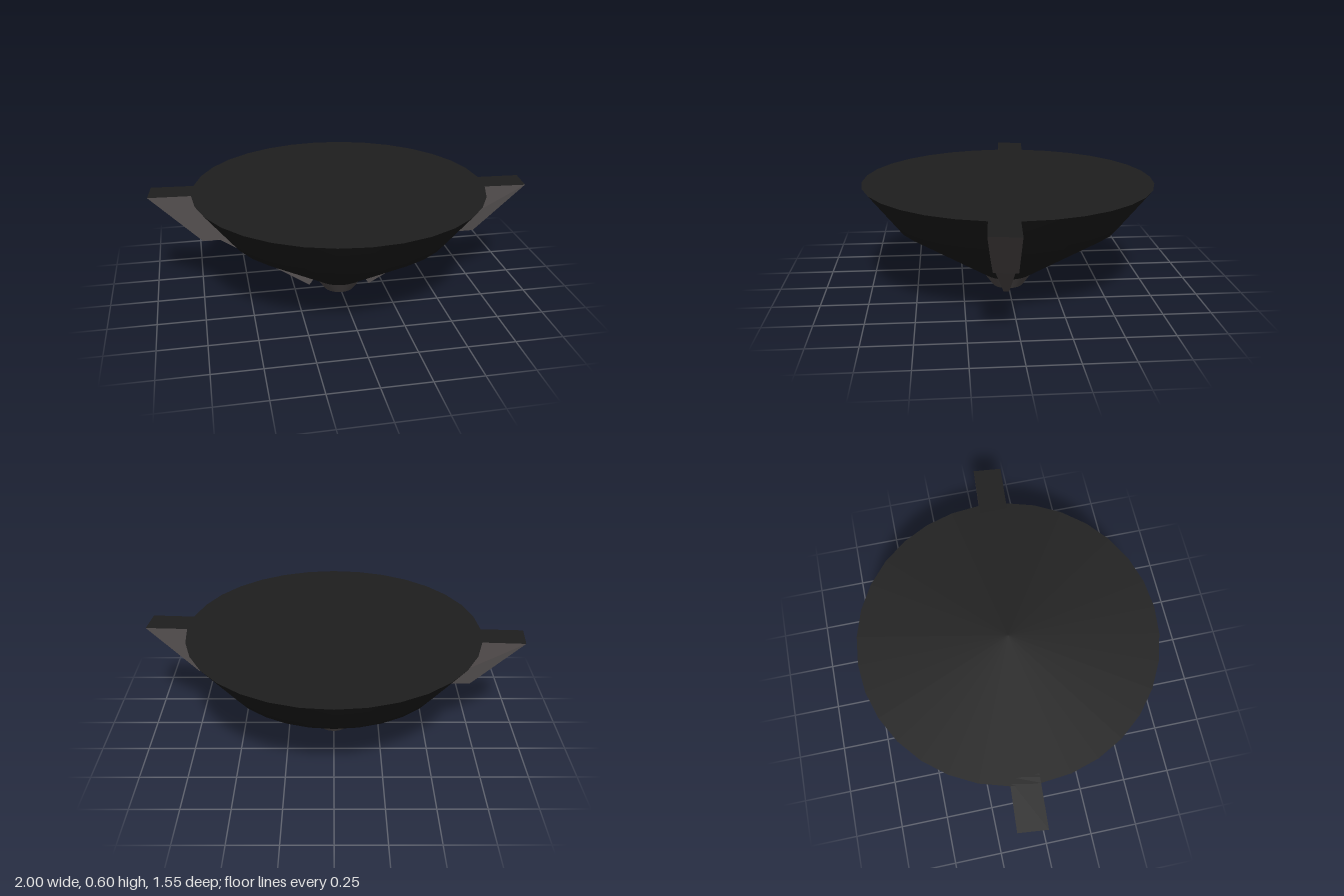
import * as THREE from 'three';
import { toCreasedNormals } from 'three/addons/utils/BufferGeometryUtils.js';

const TOP = 0.596;

function lathe(name, points, color) {
  const profile = points.map(([r, y]) => new THREE.Vector2(r, y));
  const geometry = toCreasedNormals(new THREE.LatheGeometry(profile, 32), 0.6);
  const mesh = new THREE.Mesh(geometry, new THREE.MeshStandardMaterial({ color }));
  mesh.name = name;
  return mesh;
}

// Flat-faced mesh from a list of quads, corners counter-clockwise from outside
function quads(name, list, color) {
  const pos = [];
  for (const [a, b, c, d] of list) pos.push(...a, ...b, ...c, ...a, ...c, ...d);
  const geometry = new THREE.BufferGeometry();
  geometry.setAttribute('position', new THREE.Float32BufferAttribute(pos, 3));
  geometry.computeVertexNormals();
  const mesh = new THREE.Mesh(geometry, new THREE.MeshStandardMaterial({ color, side: THREE.DoubleSide }));
  mesh.name = name;
  return mesh;
}

// Stepped rib that hugs the outside of the bowl and tapers towards the base
function createRib() {
  // each section: outer x, outer y, inner x, inner y, rear z, front z, skew of the outer front corner
  const sections = [
    [1.0, TOP, 0.73, TOP, 0.015, 0.165, 0.015],
    [0.735, 0.335, 0.53, 0.335, 0.007, 0.127, 0.012],
    [0.645, 0.335, 0.53, 0.335, 0.005, 0.122, 0.01],
    [0.167, 0.015, 0.125, 0.075, 0.005, 0.037, 0.003],
  ].map(([xo, yo, xi, yi, z0, z1, skew], i) => [
    [xi, yi, i ? z0 : 0], // inner rear
    [xo, yo, z0], // outer rear
    [xo - skew, yo, z1], // outer front
    [xi, yi, i ? z1 : 0.148], // inner front
  ]);
  const faces = [];
  for (let i = 0; i < sections.length - 1; i++) {
    const a = sections[i], b = sections[i + 1];
    for (let k = 0; k < 4; k++) {
      const n = (k + 1) % 4;
      faces.push([a[k], a[n], b[n], b[k]]);
    }
  }
  faces.push(sections[3]);
  const rib = new THREE.Group();
  rib.name = 'rib';
  rib.add(quads('ribBody', faces, 0x555050));
  // dark top face, flush with the bowl lid
  rib.add(quads('ribTop', [[...sections[0]].reverse()], 0x1e1e1e));
  return rib;
}

export function createModel() {
  const model = new THREE.Group();
  model.name = 'bowlWithRibs';

  // Closed bowl with a flat lid
  model.add(lathe('bowl', [[0, 0.07], [0.135, 0.07], [0.6, 0.37], [0.777, TOP], [0, TOP]], 0x1e1e1e));
  // Small tapered foot
  model.add(lathe('foot', [[0, 0], [0.085, 0], [0.135, 0.07], [0, 0.07]], 0x555050));

  // Two ribs, half a turn apart
  for (let i = 0; i < 2; i++) {
    const rib = createRib();
    rib.rotation.y = i * Math.PI;
    model.add(rib);
  }
  return model;
}
